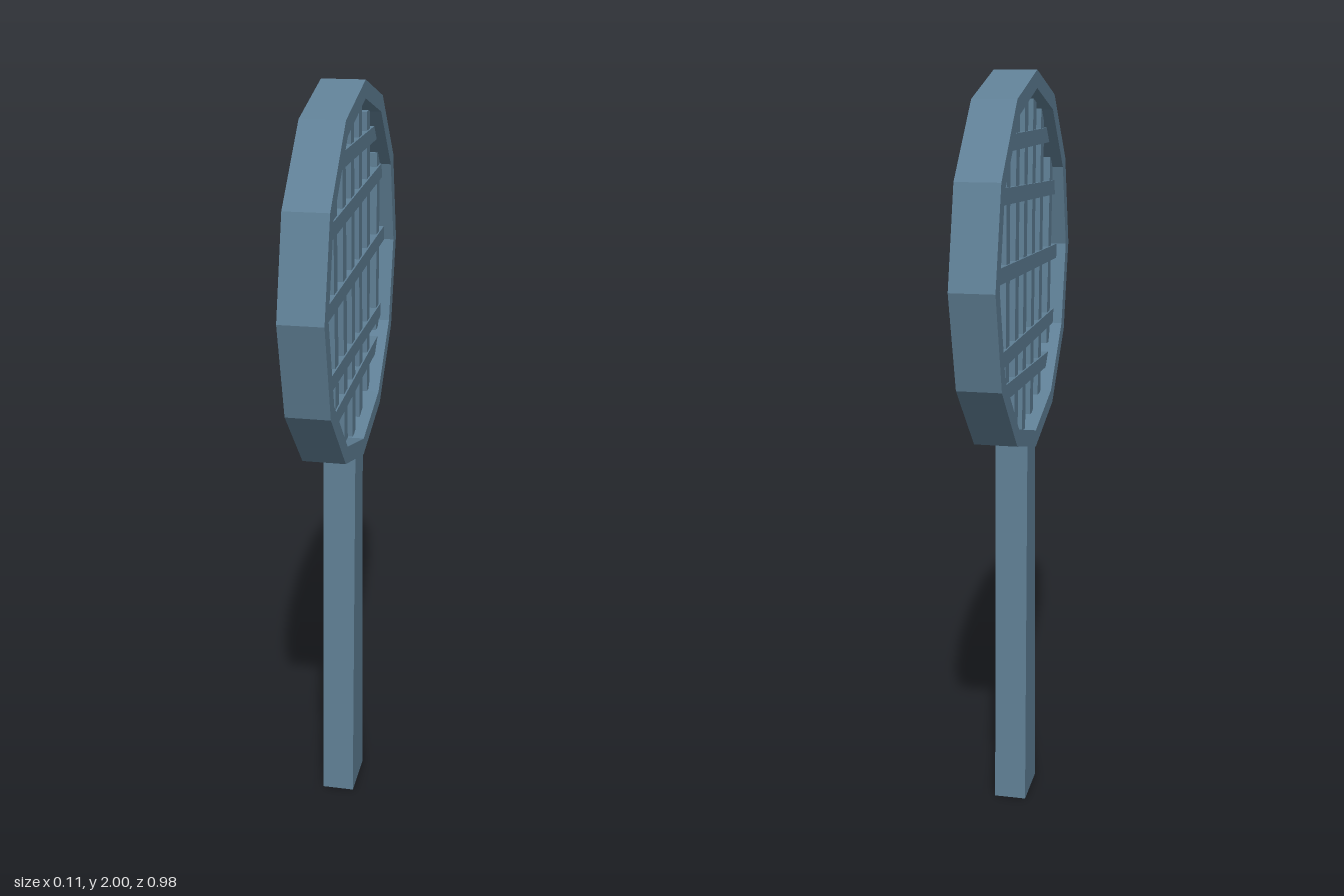
import * as THREE from 'three';

const material = new THREE.MeshStandardMaterial({ color: 0x5f7f95, flatShading: true });
const CENTER = 1.51; // height of the head's centre

// Extrude an outline evenly to both sides of the head plane
function slab(shape, depth, name) {
  const geo = new THREE.ExtrudeGeometry(shape, { depth, bevelEnabled: false });
  geo.translate(0, 0, -depth / 2);
  const mesh = new THREE.Mesh(geo, material);
  mesh.name = name;
  return mesh;
}

// Regular twelve-sided outline with a corner at the top
function ringPoints(radius) {
  return Array.from({ length: 12 }, (_, i) => {
    const a = Math.PI / 2 + (i * Math.PI) / 6;
    return new THREE.Vector2(Math.cos(a) * radius, CENTER + Math.sin(a) * radius);
  });
}

// Straight bar between two points of the head plane
function bar([x0, y0], [x1, y1], width, depth, name) {
  const length = Math.hypot(x1 - x0, y1 - y0);
  const mesh = new THREE.Mesh(new THREE.BoxGeometry(length, width, depth), material);
  mesh.position.set((x0 + x1) / 2, (y0 + y1) / 2, 0);
  mesh.rotation.z = Math.atan2(y1 - y0, x1 - x0);
  mesh.name = name;
  return mesh;
}

export function createModel() {
  const model = new THREE.Group();
  model.name = 'racket';

  // The racket is drawn in the xy plane, then turned to face sideways
  const racket = new THREE.Group();
  racket.name = 'racketBody';
  racket.rotation.y = Math.PI / 2;
  model.add(racket);

  // Head frame
  const ring = new THREE.Shape(ringPoints(0.49));
  ring.holes.push(new THREE.Path(ringPoints(0.445)));
  racket.add(slab(ring, 0.112, 'headFrame'));

  // Tapered handle
  const grip = new THREE.Shape([
    new THREE.Vector2(-0.075, 0), new THREE.Vector2(0.075, 0),
    new THREE.Vector2(0.053, 1.035), new THREE.Vector2(-0.053, 1.035),
  ]);
  racket.add(slab(grip, 0.087, 'handle'));

  // Upright strings: [top x, top y, bottom x, bottom y]
  const strings = new THREE.Group();
  strings.name = 'strings';
  [
    [-0.37, 1.76, -0.33, 1.24],
    [-0.235, 1.9, -0.2, 1.12],
    [-0.125, 1.93, -0.09, 1.09],
    [-0.018, 1.95, 0.018, 1.07],
    [0.088, 1.94, 0.118, 1.08],
    [0.2, 1.9, 0.228, 1.13],
    [0.358, 1.77, 0.36, 1.27],
  ].forEach(([x0, y0, x1, y1]) => strings.add(bar([x0, y0], [x1, y1], 0.042, 0.052, 'uprightString')));

  // Cross strings: [left x, left y, right x, right y]
  [
    [-0.32, 1.825, 0.32, 1.832],
    [-0.405, 1.675, 0.395, 1.715],
    [-0.44, 1.49, 0.44, 1.53],
    [-0.4, 1.308, 0.395, 1.315],
    [-0.31, 1.197, 0.345, 1.23],
  ].forEach(([x0, y0, x1, y1]) => strings.add(bar([x0, y0], [x1, y1], 0.04, 0.06, 'crossString')));
  racket.add(strings);

  return model;
}
